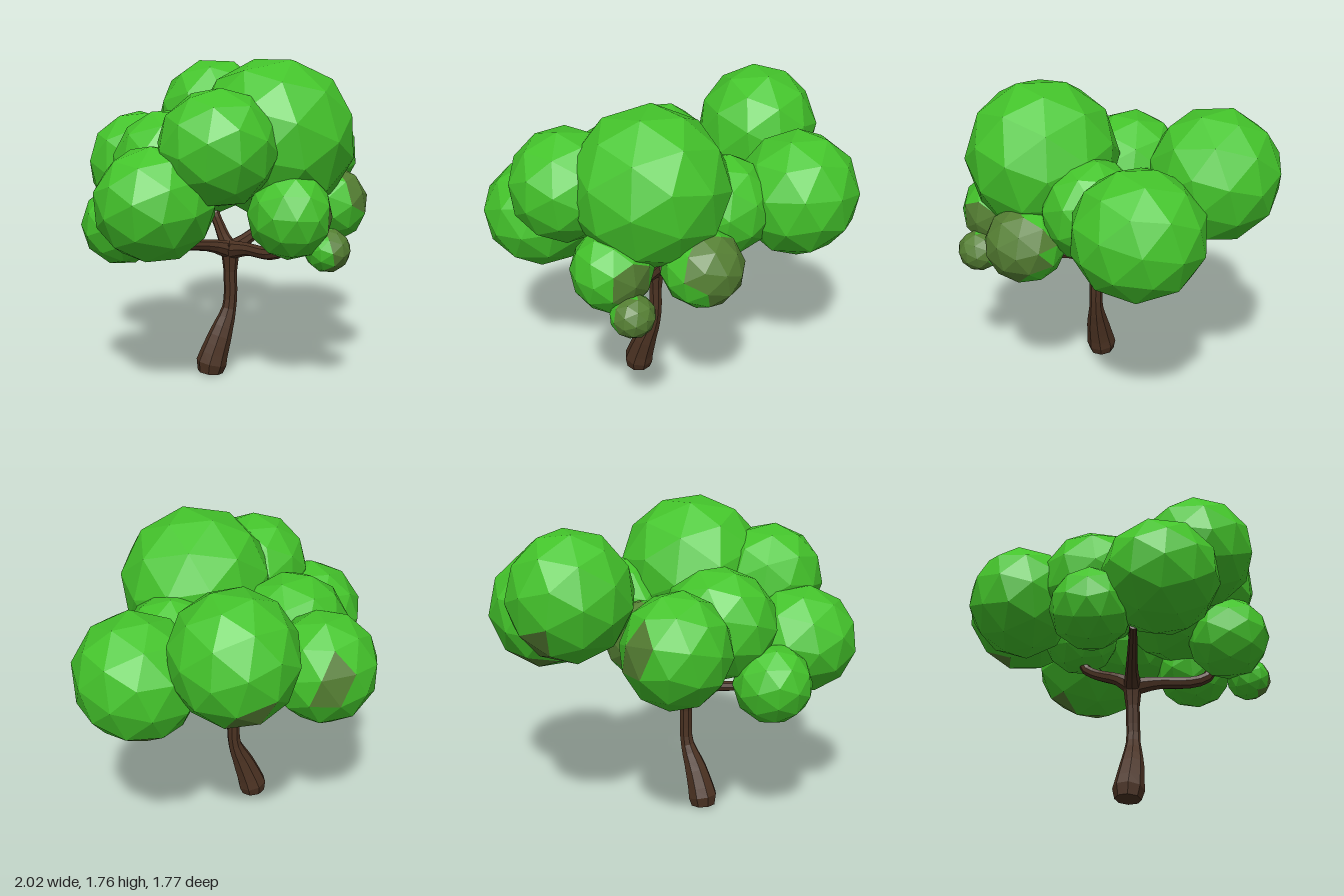
import * as THREE from 'three';

const leaf = new THREE.MeshStandardMaterial({ color: 0x44c42b });
leaf.name = 'leaf green';
const olive = new THREE.MeshStandardMaterial({ color: 0x557f33 });
olive.name = 'olive green';
const bark = new THREE.MeshStandardMaterial({ color: 0x4b3222 });
bark.name = 'bark brown';

const V = (p) => new THREE.Vector3(...p);

// Foliage clump: a turned, faceted ball; faces near the direction "patch" are olive
function clump(name, centre, radii, turn, patch, limit) {
  const geo = new THREE.IcosahedronGeometry(1, 1);
  geo.rotateX(turn).rotateY(turn * 1.7).rotateZ(turn * 0.6);
  geo.scale(...radii);
  geo.computeVertexNormals();
  const normal = geo.attributes.normal;
  const dir = patch ? V(patch).normalize() : null;
  for (let i = 0; i < normal.count; i += 3) {
    const n = new THREE.Vector3().fromBufferAttribute(normal, i);
    geo.addGroup(i, 3, dir && n.dot(dir) > limit ? 1 : 0);
  }
  const mesh = new THREE.Mesh(geo, [leaf, olive]);
  mesh.name = name;
  mesh.position.set(...centre);
  return mesh;
}

// Limb: rings of corners along a smooth path, with a radius at each path point
function limb(name, points, radii, sides = 8, steps = 10) {
  const curve = new THREE.CatmullRomCurve3(points.map(V));
  const frames = curve.computeFrenetFrames(steps, false);
  const pos = [], index = [];
  for (let i = 0; i <= steps; i++) {
    const u = i / steps;
    const c = curve.getPointAt(u);
    const t = curve.getUtoTmapping(u) * (radii.length - 1);
    const k = Math.min(Math.floor(t), radii.length - 2);
    const r = THREE.MathUtils.lerp(radii[k], radii[k + 1], t - k);
    for (let j = 0; j < sides; j++) {
      const a = (j / sides) * Math.PI * 2;
      const p = c.clone()
        .addScaledVector(frames.normals[i], Math.cos(a) * r)
        .addScaledVector(frames.binormals[i], Math.sin(a) * r);
      pos.push(p.x, p.y, p.z);
      if (i < steps) {
        const m = i * sides + j, n = i * sides + (j + 1) % sides;
        index.push(m, n, m + sides, n, n + sides, m + sides);
      }
    }
  }
  // End caps
  const last = steps * sides;
  for (let j = 1; j < sides - 1; j++) {
    index.push(0, j + 1, j, last, last + j, last + j + 1);
  }
  const geo = new THREE.BufferGeometry();
  geo.setAttribute('position', new THREE.Float32BufferAttribute(pos, 3));
  geo.setIndex(index);
  const flat = geo.toNonIndexed();
  flat.computeVertexNormals();
  const mesh = new THREE.Mesh(flat, bark);
  mesh.name = name;
  return mesh;
}

export function createModel() {
  const tree = new THREE.Group();
  tree.name = 'tree';

  // Trunk and branches
  const wood = new THREE.Group();
  wood.name = 'wood';
  const fork = [-0.07, 0.7, 0.11];
  wood.add(
    limb('trunk',
      [[-0.192, 0.01, 0.085], [-0.187, 0.06, 0.088], [-0.135, 0.22, 0.105], [-0.075, 0.38, 0.112], [-0.068, 0.58, 0.11], [-0.07, 0.74, 0.11]],
      [0.072, 0.087, 0.066, 0.038, 0.038, 0.058], 8, 14),
    limb('frontBranch',
      [fork, [-0.06, 0.725, 0.25], [-0.05, 0.73, 0.44], [-0.03, 0.77, 0.53], [-0.03, 0.86, 0.58]],
      [0.055, 0.036, 0.034, 0.032, 0.028]),
    limb('rightBranch',
      [fork, [-0.2, 0.74, 0.11], [-0.4, 0.77, 0.12], [-0.6, 0.81, 0.13]],
      [0.052, 0.034, 0.027, 0.02]),
    limb('leftBranch',
      [fork, [0.05, 0.75, 0.11], [0.2, 0.82, 0.1], [0.32, 0.92, 0.1], [0.35, 1.05, 0.1]],
      [0.052, 0.036, 0.031, 0.028, 0.022]),
    limb('backBranch',
      [fork, [-0.05, 0.755, 0.03], [0, 0.805, -0.08], [0.03, 0.86, -0.16], [0.05, 0.98, -0.19]],
      [0.052, 0.036, 0.031, 0.029, 0.022])
  );
  tree.add(wood);

  // Foliage: name, centre, radii, turn, olive direction, olive limit
  const foliage = new THREE.Group();
  foliage.name = 'foliage';
  const clumps = [
    ['crownFront', [0.01, 1.35, 0.395], [0.44, 0.435, 0.43], 0.4],
    ['crownFrontRight', [-0.43, 1.33, 0.47], [0.31, 0.31, 0.32], 1.1],
    ['sideRight', [-0.685, 1.045, 0.275], [0.325, 0.305, 0.315], 2.0],
    ['lowRight', [-0.655, 0.885, -0.085], [0.22, 0.22, 0.22], 0.9],
    ['crownRight', [-0.335, 1.18, -0.08], [0.33, 0.315, 0.305], 1.6],
    ['backRight', [-0.265, 1.14, -0.495], [0.3, 0.315, 0.3], 2.6, [0.34, 0.1, -0.9], 0.96],
    ['crownBack', [0.32, 1.38, -0.54], [0.345, 0.36, 0.355], 0.7, [0.1, -0.7, -0.7], 0.93],
    ['sideLeft', [0.67, 1.185, -0.15], [0.345, 0.35, 0.36], 1.9, [0.2, -0.85, -0.4], 0.88],
    ['innerLeft', [0.325, 1.17, 0.11], [0.28, 0.285, 0.275], 2.3],
    ['innerBack', [0.06, 1.08, -0.19], [0.22, 0.22, 0.22], 1.3, [0.55, 0.45, -0.55], 0.5],
    ['lowFront', [-0.1, 0.975, 0.65], [0.22, 0.235, 0.23], 3.1, [0.9, -0.1, 0.4], 0.87],
    ['lowFrontLeft', [0.335, 0.97, 0.465], [0.225, 0.215, 0.225], 0.25, [0.7, 0.25, 0.35], 0.45],
    ['smallFront', [0.06, 0.79, 0.765], [0.122, 0.118, 0.125], 1.45, [0.6, 0, 0.5], 0.05]
  ];
  for (const c of clumps) foliage.add(clump(...c));
  tree.add(foliage);
  return tree;
}
